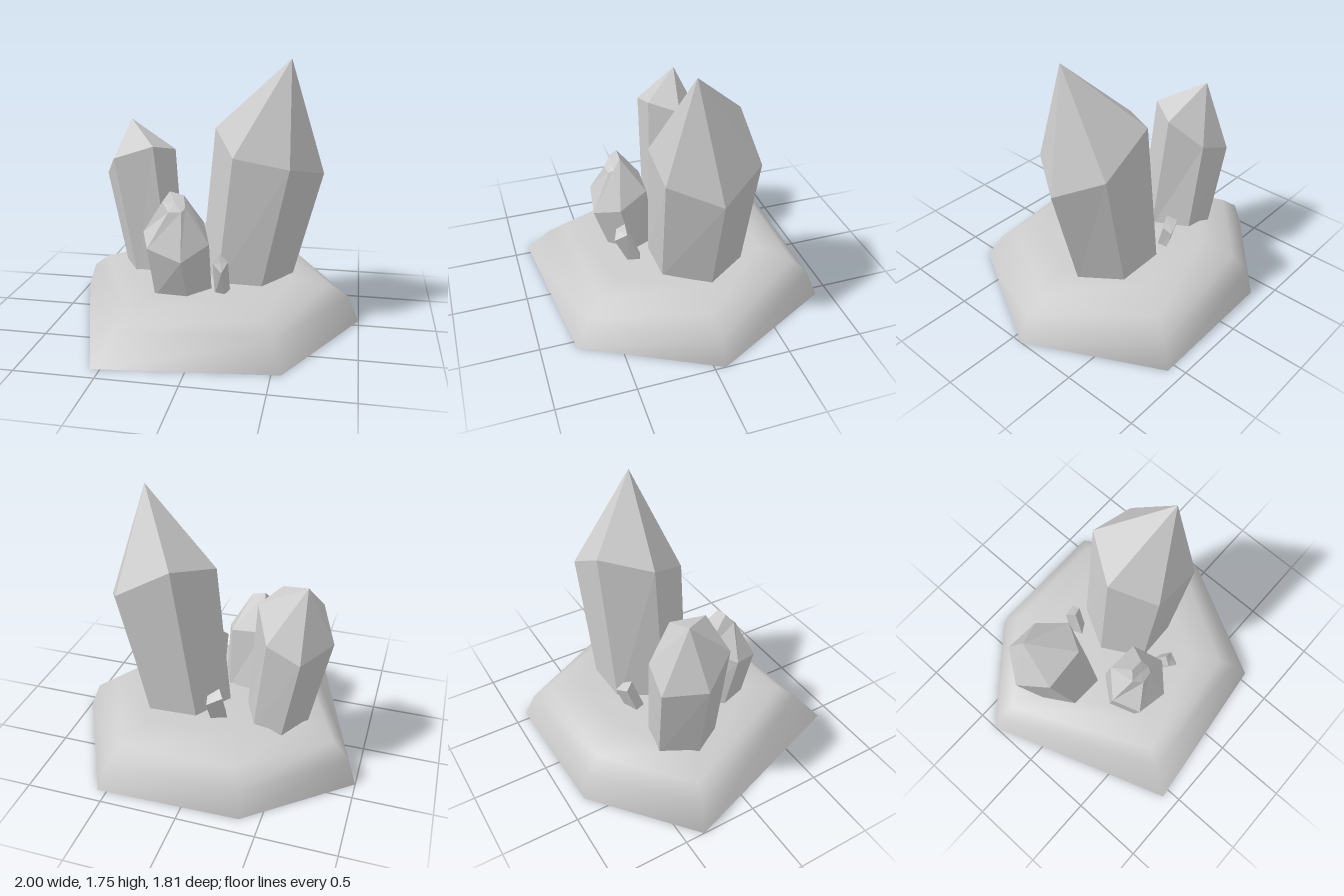
import * as THREE from 'three';

// Skins a stack of cross-sections (points [x, y, z], clockwise from above) and closes the top with a fan.
function skin(rings, tip) {
  const n = rings[0].length;
  const index = [];
  for (let r = 0; r < rings.length; r++) {
    for (let i = 0; i < n; i++) {
      const a = r * n + i, b = r * n + (i + 1) % n;
      if (r < rings.length - 1) index.push(b, a, a + n, b, a + n, b + n);
      else index.push(b, a, rings.length * n);
    }
  }
  const g = new THREE.BufferGeometry();
  g.setAttribute('position', new THREE.Float32BufferAttribute([...rings.flat(2), ...tip], 3));
  g.setIndex(index);
  g.computeVertexNormals();
  return g;
}

const centre = ring => [0, 1, 2].map(k => ring.reduce((s, p) => s + p[k], 0) / ring.length);

const flatGrey = new THREE.MeshStandardMaterial({ color: 0xcccccc, flatShading: true });
const smoothGrey = new THREE.MeshStandardMaterial({ color: 0xcccccc });

// A crystal: foot outline [x, z], shoulder ring, then a point or a small slanted cap.
function crystal(name, foot, shoulder, { tip, cap } = {}) {
  const rings = [foot.map(([x, z]) => [x, 0.27, z]), shoulder];
  if (cap) rings.push(cap);
  const mesh = new THREE.Mesh(skin(rings, tip ?? centre(rings.at(-1))), flatGrey);
  mesh.name = name;
  return mesh;
}

// Six-sided rock, each corner drawn inwards as it rises: [x, z, [scale, y] x 3]
function rock() {
  const corners = [
    [-0.37, -0.89, [0.95, 0.18], [0.84, 0.28], [0.62, 0.355]],
    [0.56, -0.91, [0.93, 0.17], [0.82, 0.27], [0.6, 0.335]],
    [1.0, -0.07, [0.93, 0.17], [0.79, 0.26], [0.55, 0.285]],
    [0.56, 0.77, [0.88, 0.17], [0.76, 0.26], [0.55, 0.285]],
    [-0.56, 0.90, [0.82, 0.2], [0.71, 0.275], [0.49, 0.29]],
    [-1.0, -0.37, [0.94, 0.17], [0.83, 0.26], [0.62, 0.31]],
  ];
  const rings = [corners.map(([x, z]) => [x, 0, z])];
  for (let k = 2; k < 5; k++) {
    rings.push(corners.map(c => [c[0] * c[k][0], c[k][1], c[1] * c[k][0]]));
  }
  const group = new THREE.Group();
  group.name = 'rockBase';
  const top = new THREE.Mesh(skin(rings, [0, 0.3, 0]), smoothGrey);
  top.name = 'rockTop';
  // Flat underside
  const outline = new THREE.Shape(corners.map(([x, z]) => new THREE.Vector2(x, z)));
  const under = new THREE.Mesh(new THREE.ShapeGeometry(outline).rotateX(Math.PI / 2), flatGrey);
  under.name = 'rockUnderside';
  group.add(top, under);
  return group;
}

export function createModel() {
  const model = new THREE.Group();
  model.name = 'crystalCluster';
  model.add(
    rock(),
    crystal('tallCrystal',
      [[0.06, -0.4], [0.38, -0.4], [0.54, -0.14], [0.36, 0.14], [0.07, 0.15], [-0.09, -0.12]],
      [[0.21, 1.36, -0.42], [0.57, 1.15, -0.42], [0.73, 1.0, -0.13],
        [0.53, 1.08, 0.17], [0.17, 1.14, 0.17], [0.01, 1.28, -0.12]],
      { tip: [0.51, 1.75, -0.02] }),
    crystal('middleCrystal',
      [[-0.5, -0.4], [-0.31, -0.37], [-0.21, -0.13], [-0.28, 0.03], [-0.51, 0.02], [-0.63, -0.18]],
      [[-0.61, 0.87, -0.44], [-0.39, 0.95, -0.4], [-0.28, 1.11, -0.19],
        [-0.39, 1.16, 0.0], [-0.66, 1.07, 0.0], [-0.77, 0.92, -0.21]],
      { tip: [-0.6, 1.3, -0.25] }),
    crystal('shortCrystal',
      [[-0.21, 0.03], [-0.02, 0.07], [0.05, 0.24], [-0.08, 0.39], [-0.29, 0.38], [-0.35, 0.2]],
      [[-0.24, 0.72, 0.12], [-0.02, 0.7, 0.13], [0.05, 0.62, 0.33],
        [-0.1, 0.54, 0.48], [-0.32, 0.61, 0.45], [-0.39, 0.66, 0.27]],
      { cap: [[-0.21, 0.94, 0.28], [-0.12, 0.92, 0.28], [-0.1, 0.85, 0.33],
        [-0.12, 0.83, 0.36], [-0.2, 0.83, 0.37], [-0.25, 0.88, 0.32]] }),
    // Tiny four-sided shards
    crystal('frontShard',
      [[0.1, 0.21], [0.17, 0.23], [0.15, 0.31], [0.08, 0.29]],
      [[0.11, 0.56, 0.32], [0.17, 0.51, 0.32], [0.14, 0.46, 0.4], [0.08, 0.51, 0.37]]),
    crystal('backShard',
      [[-0.04, -0.38], [-0.04, -0.31], [-0.11, -0.27], [-0.14, -0.34]],
      [[-0.02, 0.47, -0.45], [-0.01, 0.5, -0.39], [-0.08, 0.55, -0.36], [-0.12, 0.52, -0.42]]),
  );
  return model;
}
